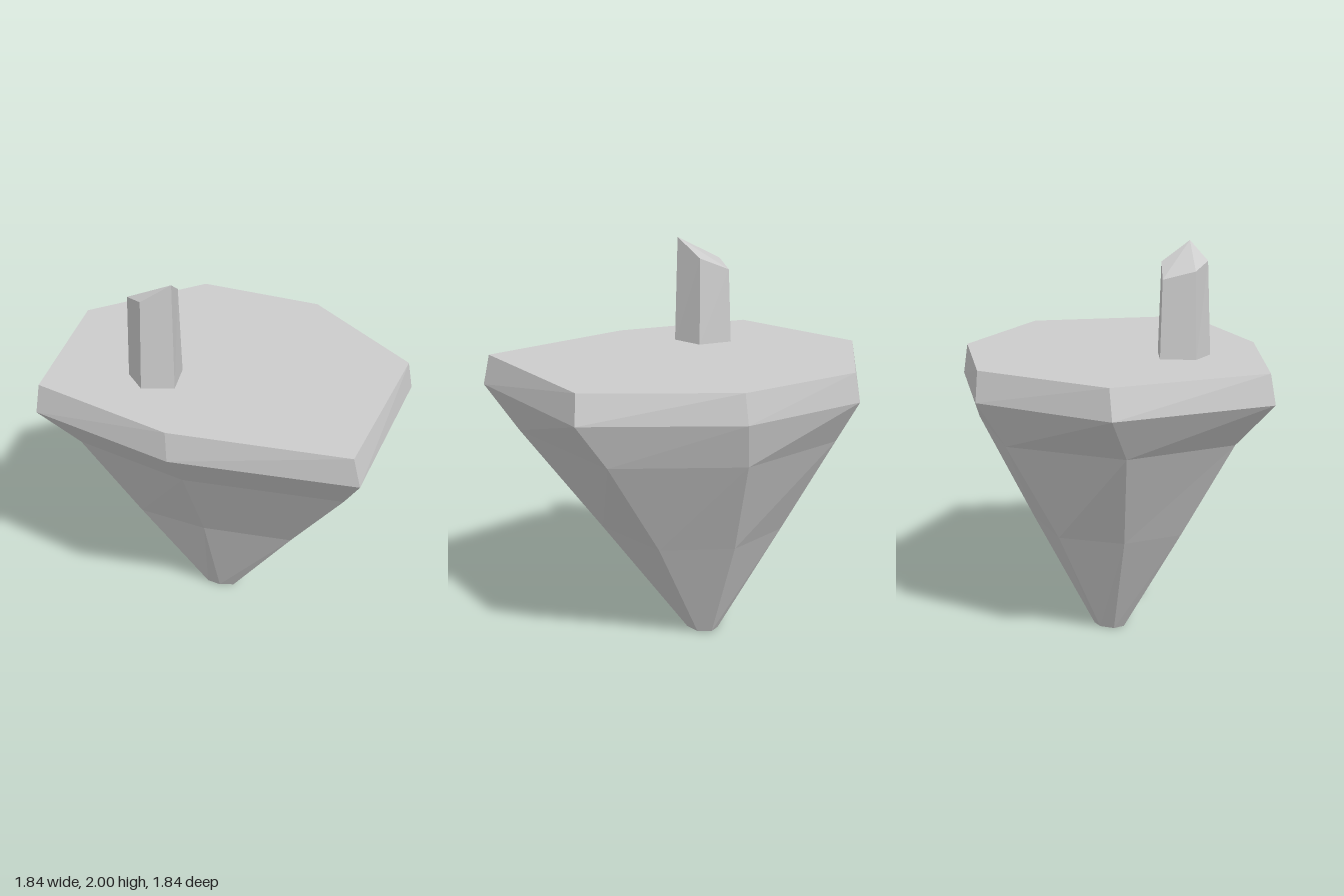
import * as THREE from 'three';

// Closed faceted loft through rings of [x, y, z] points, listed bottom to top
// and clockwise as seen from above.
function loft(rings) {
  const pos = [];
  const tri = (a, b, c) => pos.push(...a, ...b, ...c);
  const n = rings[0].length;
  for (let r = 0; r < rings.length - 1; r++) {
    const low = rings[r], high = rings[r + 1];
    for (let i = 0; i < n; i++) {
      const j = (i + 1) % n;
      tri(low[j], low[i], high[i]);
      tri(low[j], high[i], high[j]);
    }
  }
  const bottom = rings[0], top = rings[rings.length - 1];
  for (let i = 1; i < n - 1; i++) {
    tri(bottom[0], bottom[i], bottom[i + 1]);
    tri(top[0], top[i + 1], top[i]);
  }
  const geometry = new THREE.BufferGeometry();
  geometry.setAttribute('position', new THREE.Float32BufferAttribute(pos, 3));
  geometry.computeVertexNormals();
  return geometry;
}

// Ring of [x, z] points at one height
const level = (y, points) => points.map(([x, z]) => [x, y, z]);

export function createModel() {
  const group = new THREE.Group();
  group.name = 'floatingRock';

  const stone = new THREE.MeshStandardMaterial({ color: 0xcccccc });
  stone.name = 'pale grey stone';

  const add = (name, rings) => {
    const mesh = new THREE.Mesh(loft(rings), stone);
    mesh.name = name;
    group.add(mesh);
  };

  // Seven-sided rock tapering to a small foot, with a bevelled flat top
  add('rock', [
    level(0, [[0.03, -0.205], [0.085, -0.19], [0.11, -0.12], [0.07, -0.05], [-0.005, -0.07], [-0.06, -0.12], [-0.04, -0.175]]),
    level(0.59, [[0.0, -0.525], [0.33, -0.38], [0.47, -0.04], [0.265, 0.34], [-0.14, 0.13], [-0.42, -0.1], [-0.295, -0.375]]),
    level(1.1, [[0.06, -0.8], [0.575, -0.51], [0.8, 0.085], [0.385, 0.725], [-0.3, 0.37], [-0.715, -0.07], [-0.5, -0.585]]),
    level(1.32, [[0.12, -0.92], [0.66, -0.53], [0.92, 0.185], [0.38, 0.915], [-0.4, 0.51], [-0.92, -0.05], [-0.575, -0.76]]),
    level(1.465, [[0.13, -0.895], [0.65, -0.51], [0.89, 0.19], [0.35, 0.895], [-0.4, 0.49], [-0.895, -0.06], [-0.55, -0.75]]),
  ]);

  // Five-sided pillar with a slanted, broken top
  add('pillar', [
    level(1.46, [[-0.275, 0.135], [-0.43, 0.095], [-0.46, -0.05], [-0.325, -0.155], [-0.2, -0.025]]),
    [[-0.275, 2, 0.12], [-0.415, 1.915, 0.085], [-0.45, 1.88, -0.05], [-0.325, 1.84, -0.14], [-0.215, 1.905, -0.02]],
  ]);

  return group;
}
